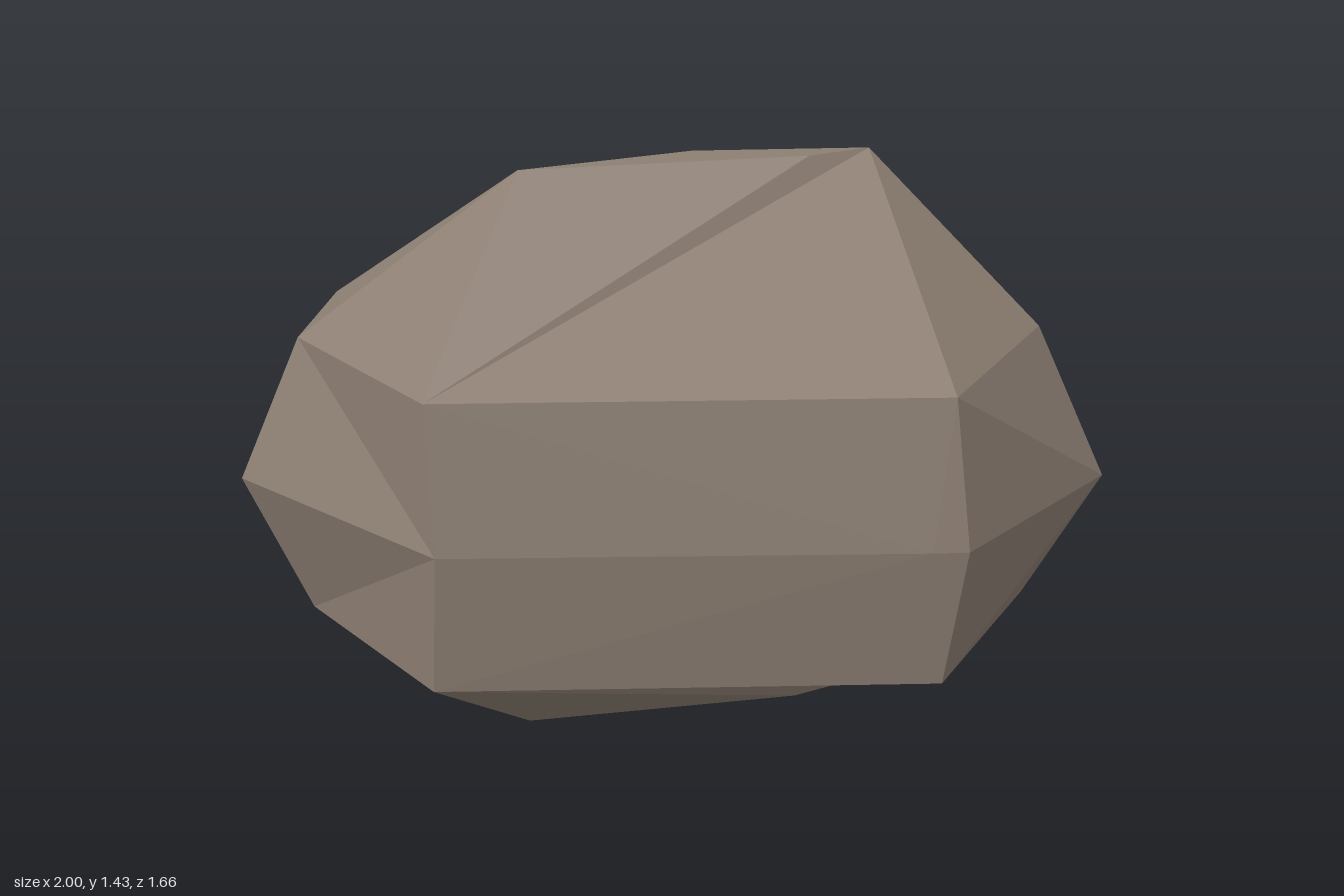
import * as THREE from 'three';

const MID = 0.715, SHOULDER = 1.06, TOP = 1.43;

// Widest outline, at mid height (x, z); index 5 and 6 form the blunt front corner
const waist = [[-1, 0.1], [-0.86, -0.34], [0.24, -0.83], [0.79, -0.4], [1, 0.47], [0.55, 0.83], [0.47, 0.82], [-0.6, 0.64]];

// Upper points: the shoulder ring, the ridge and the back spur
const at = (x, z, y = SHOULDER) => new THREE.Vector3(x, y, z);
const A = at(-0.85, 0.11), B = at(-0.74, -0.22), C = at(0.25, -0.74), D = at(0.73, -0.25);
const E = at(0.86, 0.36), F = at(0.52, 0.78), G = at(-0.61, 0.6);
const S = at(0.04, -0.63), R = at(0.52, -0.46), P = at(0.04, -0.36, 1.27);
const K = at(-0.33, 0.11, TOP), H = at(0.1, 0.01, TOP), I = at(0.36, 0.11, TOP), T = at(0.52, 0.06, TOP);

// Faces as corner loops, each split into a fan of triangles
const band = [];
const shoulder = [A, B, C, D, E, F, F, G];
waist.forEach(([x, z], i) => {
  const j = (i + 1) % waist.length;
  const a = at(x, z, MID), b = at(...waist[j], MID);
  band.push(shoulder[i] === shoulder[j] ? [a, b, shoulder[i]] : [a, b, shoulder[j], shoulder[i]]);
});
const cap = [
  [A, B, K], [A, K, G],                      // left end
  [B, S, P], [B, P, H], [B, H, K],           // back left slope
  [S, R, T, P], [P, T, H], [S, C, R],        // back right slope and flat ledge
  [R, D, T], [D, E, T], [E, F, T],           // right end
  [G, F, T], [G, T, I], [G, I, K],           // front slope
  [K, I, H], [H, I, T],                      // narrow top
];

// Builds the faces, turned outwards; flip mirrors them about mid height
function facets(loops, flip) {
  const centre = new THREE.Vector3(0.05, MID, 0);
  const pos = [];
  const put = (p) => p.clone().setY(flip ? 2 * MID - p.y : p.y);
  for (const loop of loops) {
    for (let i = 1; i < loop.length - 1; i++) {
      let [a, b, c] = [loop[0], loop[i], loop[i + 1]].map(put);
      const n = b.clone().sub(a).cross(c.clone().sub(a));
      const out = a.clone().add(b).add(c).divideScalar(3).sub(centre);
      if (n.dot(out) < 0) [b, c] = [c, b];
      for (const p of [a, b, c]) pos.push(p.x, p.y, p.z);
    }
  }
  const geo = new THREE.BufferGeometry();
  geo.setAttribute('position', new THREE.Float32BufferAttribute(pos, 3));
  geo.computeVertexNormals();
  return geo;
}

export function createModel() {
  const group = new THREE.Group();
  group.name = 'rock';
  const stone = new THREE.MeshStandardMaterial({ color: 0x8c7e72, flatShading: true });
  stone.name = 'stone';
  const add = (name, loops, flip) => {
    const mesh = new THREE.Mesh(facets(loops, flip), stone);
    mesh.name = name;
    group.add(mesh);
  };
  add('upperBand', band, false);
  add('upperCap', cap, false);
  add('lowerBand', band, true);
  add('lowerCap', cap, true);
  return group;
}
